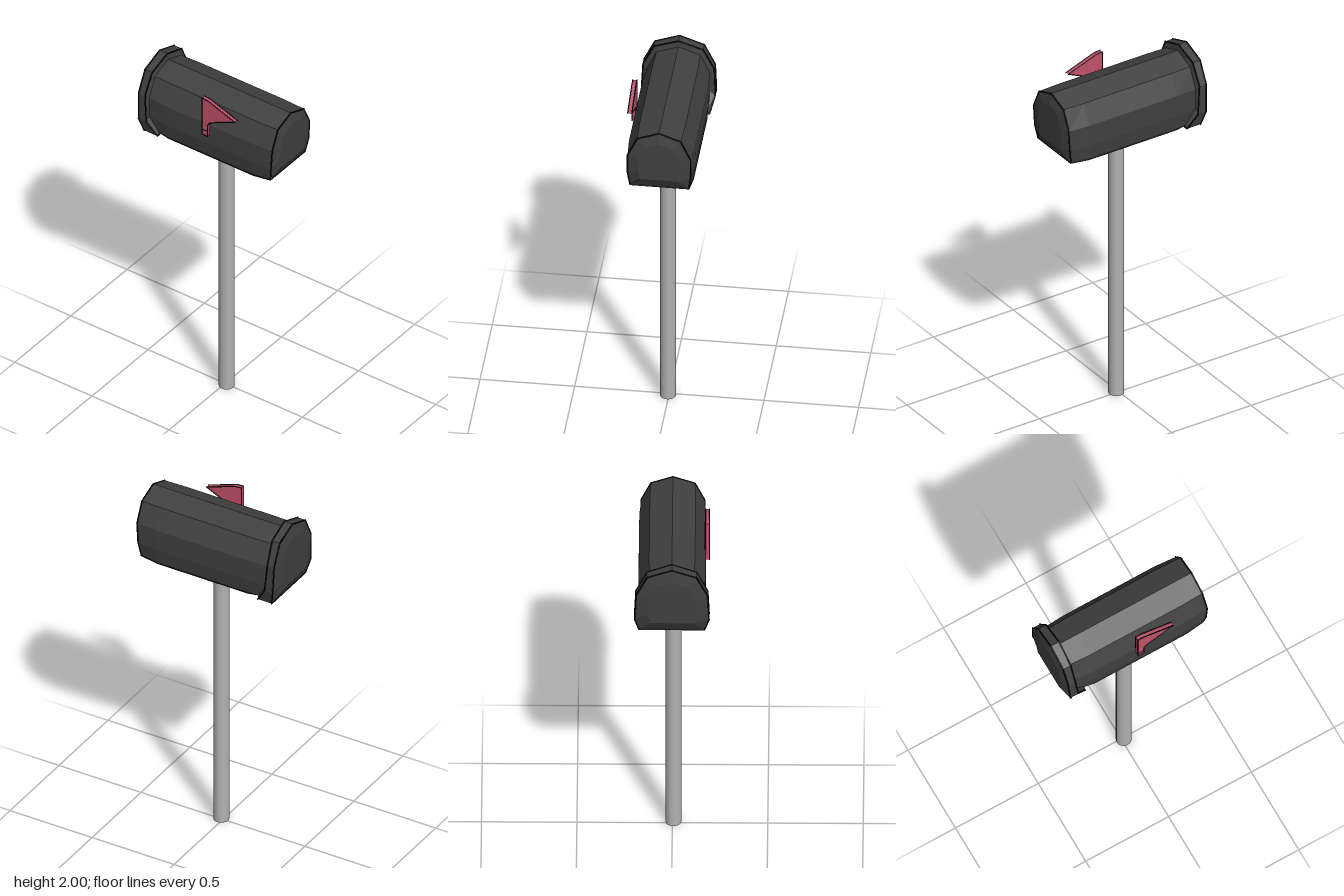
import * as THREE from 'three';
import { mergeGeometries } from 'three/addons/utils/BufferGeometryUtils.js';

const V = (x, y, z) => new THREE.Vector3(x, y, z);

// Arched ring from half a profile of [z, y]; x may depend on the point index
function ring(half, x, scale = 1, midY = 1.79) {
  const pts = half.map(([z, y], i) =>
    V(typeof x === 'function' ? x(i) : x, midY + (y - midY) * scale, z * scale));
  const other = pts.slice(0, -1).reverse().map(p => V(p.x, p.y, -p.z));
  return [...pts, ...other];
}

// Skin between rings running along +x, with a fan closing each end
function loft(rings) {
  const pos = [];
  const tri = (...ps) => ps.forEach(p => pos.push(p.x, p.y, p.z));
  const n = rings[0].length;
  const centre = r => r.reduce((s, p) => s.add(p), V(0, 0, 0)).divideScalar(n);
  const first = rings[0], last = rings[rings.length - 1];
  const c0 = centre(first), c1 = centre(last);
  for (let k = 0; k < n; k++) {
    const j = (k + 1) % n;
    for (let i = 0; i < rings.length - 1; i++) {
      const a = rings[i], b = rings[i + 1];
      tri(a[k], b[k], b[j]);
      tri(a[k], b[j], a[j]);
    }
    tri(c0, first[k], first[j]);
    tri(c1, last[j], last[k]);
  }
  const g = new THREE.BufferGeometry();
  g.setAttribute('position', new THREE.Float32BufferAttribute(pos, 3));
  g.computeVertexNormals();
  return g;
}

// Thin bead following a polyline
function bead(points, closed = true, r = 0.004) {
  const parts = [];
  const n = points.length;
  for (let i = 0; i < (closed ? n : n - 1); i++) {
    const a = points[i], b = points[(i + 1) % n];
    const d = b.clone().sub(a);
    const g = new THREE.CylinderGeometry(r, r, d.length() + r, 5);
    g.applyQuaternion(new THREE.Quaternion().setFromUnitVectors(V(0, 1, 0), d.normalize()));
    const m = a.clone().add(b).multiplyScalar(0.5);
    g.translate(m.x, m.y, m.z);
    parts.push(g);
  }
  return mergeGeometries(parts);
}

export function createModel() {
  const group = new THREE.Group();
  const material = (name, color) => {
    const m = new THREE.MeshStandardMaterial({ color });
    m.name = name;
    return m;
  };
  const charcoal = material('charcoal', 0x404040);
  charcoal.flatShading = true;
  const black = material('black', 0x080808);
  const grey = material('grey', 0xb2b2b2);
  const red = material('red', 0xc4506a);
  const add = (name, geometry, mat) => {
    const mesh = new THREE.Mesh(geometry, mat);
    mesh.name = name;
    group.add(mesh);
    return mesh;
  };

  // Post
  add('post', new THREE.CylinderGeometry(0.042, 0.042, 1.61, 24).translate(0.013, 0.805, 0.005), grey);

  // Box body, slightly slimmer towards its ends, with a bulged back wall
  const mid = [[0.165, 1.6], [0.177, 1.69], [0.175, 1.81], [0.12, 1.92], [0, 1.962]];
  const end = [[0.155, 1.608], [0.167, 1.69], [0.166, 1.81], [0.115, 1.92], [0, 1.962]];
  const endX = i => [0.405, 0.418, 0.425, 0.425, 0.425][i];
  const endRing = ring(end, endX);
  add('body', loft([
    ring(end, -0.39), ring(mid, -0.25), ring(mid, 0.3), endRing, ring(end, 0.438, 0.65),
  ]), charcoal);

  // Door with an overhanging rim and a longer lip underneath
  const door = [[0.172, 1.587], [0.195, 1.67], [0.188, 1.83], [0.13, 1.95], [0, 1.997]];
  const rimFront = ring(door, i => [-0.4, -0.42, -0.425, -0.425, -0.425][i]);
  const rimBack = ring(door, i => [-0.315, -0.37, -0.383, -0.378, -0.374][i]);
  add('door', loft([
    ring(door, -0.438, 0.65), rimFront, rimBack, ring(end, i => (i ? -0.37 : -0.31)),
  ]), charcoal);

  // Dark seams round the rims and along the floor
  add('doorFrontSeam', bead(rimFront), black);
  add('doorBackSeam', bead(rimBack), black);
  add('endSeam', bead(endRing), black);
  for (const s of [1, -1]) {
    add('floorSeam', bead([
      V(-0.31, 1.604, s * 0.157), V(-0.25, 1.6, s * 0.165),
      V(0.3, 1.6, s * 0.165), V(0.405, 1.608, s * 0.155),
    ], false), black);
  }

  // Signal flag: pennant on a short arm
  const outline = [[-0.01, 1.75], [0.027, 1.75], [0.027, 1.82], [0.04, 1.845],
    [0.203, 1.92], [0.03, 1.982], [-0.01, 1.986]];
  const shape = new THREE.Shape(outline.map(([x, y]) => new THREE.Vector2(x, y)));
  add('flag', new THREE.ExtrudeGeometry(shape, { depth: 0.022, bevelEnabled: false })
    .translate(0, 0, 0.172), red);
  for (const z of [0.172, 0.194]) {
    add('flagEdge', bead(outline.map(([x, y]) => V(x, y, z)), true, 0.003), black);
  }
  add('flagPivotSeam', bead([V(-0.01, 1.782, 0.194), V(0.027, 1.782, 0.194)], false, 0.003), black);

  return group;
}
